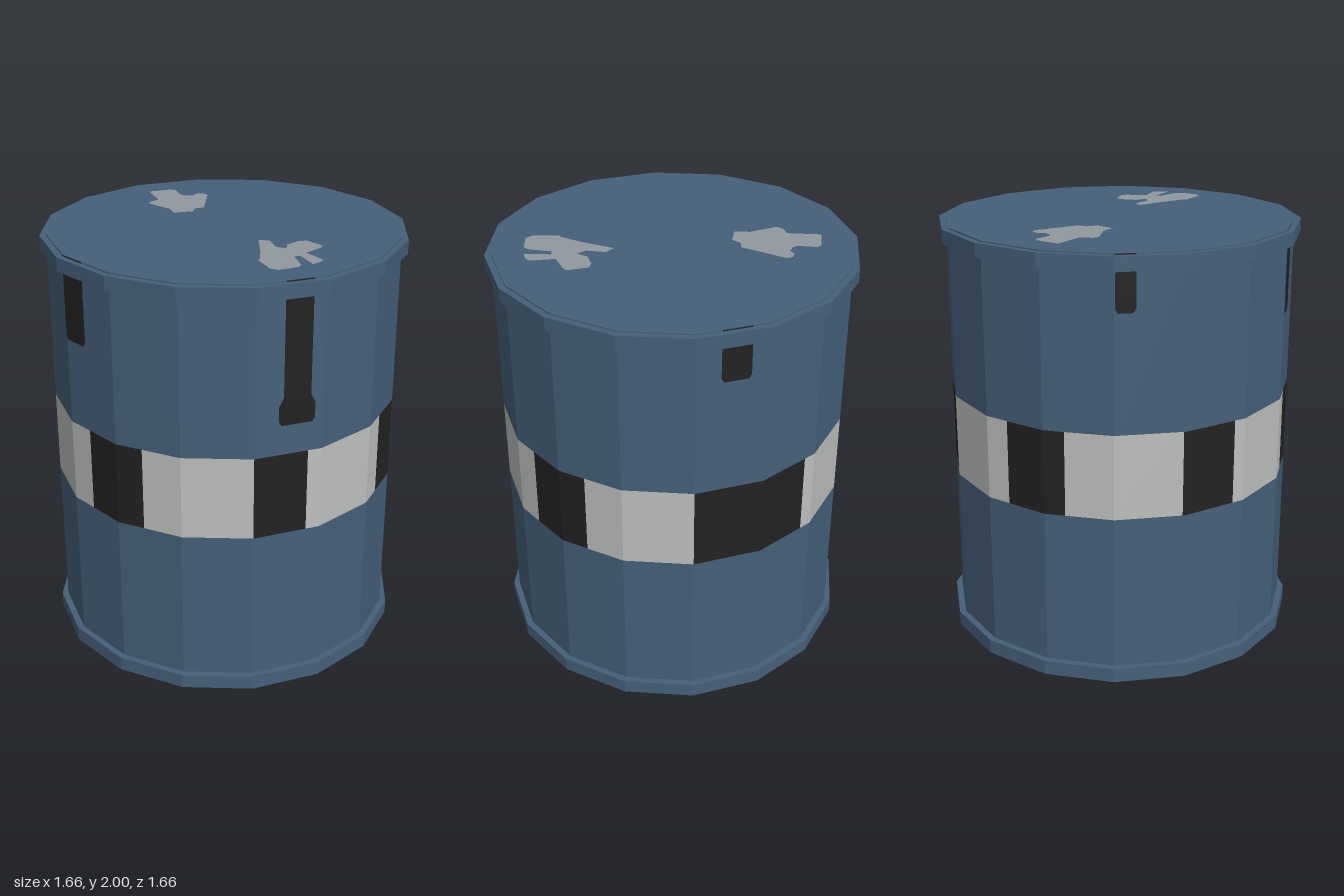
import * as THREE from 'three';

const SIDES = 16, STEP = 360 / SIDES, RADIUS = 0.815;
const APOTHEM = RADIUS * Math.cos(Math.PI / SIDES);
const rad = THREE.MathUtils.degToRad;

const blue = new THREE.MeshStandardMaterial({ color: 0x456079 });
blue.name = 'barrel blue';
const pale = new THREE.MeshStandardMaterial({ color: 0xbdc0be });
pale.name = 'stripe pale grey';
const black = new THREE.MeshStandardMaterial({ color: 0x222222 });
black.name = 'paint black';
const grey = new THREE.MeshStandardMaterial({ color: 0x90999f });
grey.name = 'scuff grey';

function add(parent, name, geometry, material) {
  const mesh = new THREE.Mesh(geometry, material);
  mesh.name = name;
  parent.add(mesh);
  return mesh;
}

// Faceted prism with flat faces centred on +z and +x
function prism(radius, y0, y1, open = false) {
  const g = new THREE.CylinderGeometry(radius, radius, y1 - y0, SIDES, 1, open, rad(STEP / 2));
  g.translate(0, (y0 + y1) / 2, 0);
  const flat = g.toNonIndexed();
  flat.computeVertexNormals();
  return flat;
}

// Point on the faceted wall at an angle measured from the front towards +x
function wallPoint(deg, y) {
  const mid = Math.round(deg / STEP) * STEP;
  const r = APOTHEM / Math.cos(rad(deg - mid));
  return [r * Math.sin(rad(deg)), y, r * Math.cos(rad(deg))];
}

// Piece of the wall between two angles, split at the facet edges
function wallPiece(a0, a1, y0, y1) {
  const stops = [a0];
  for (let e = (Math.ceil(a0 / STEP - 0.5) + 0.5) * STEP; e < a1 - 0.01; e += STEP) {
    if (e > a0 + 0.01) stops.push(e);
  }
  stops.push(a1);
  const pos = [];
  for (let i = 0; i < stops.length - 1; i++) {
    const a = wallPoint(stops[i], y0), b = wallPoint(stops[i + 1], y0);
    const c = wallPoint(stops[i + 1], y1), d = wallPoint(stops[i], y1);
    pos.push(...a, ...b, ...c, ...a, ...c, ...d);
  }
  const g = new THREE.BufferGeometry();
  g.setAttribute('position', new THREE.Float32BufferAttribute(pos, 3));
  g.computeVertexNormals();
  return g;
}

const toShape = (points) => new THREE.Shape(points.map(([x, y]) => new THREE.Vector2(x, y)));

export function createModel() {
  const model = new THREE.Group();
  model.name = 'barrel';
  const bandLow = 0.81, bandHigh = 1.205, top = 1.998;

  // Drum wall below and above the stripe, with closed ends
  add(model, 'lowerBody', prism(RADIUS, 0, bandLow), blue);
  add(model, 'upperBody', prism(RADIUS, bandHigh, top), blue);

  // Rims
  add(model, 'bottomRim', prism(0.845, 0.012, 0.08), blue);
  add(model, 'topRim', prism(0.845, 1.927, 1.992), blue);

  // Stripe of alternating black and pale pieces
  const blacks = [[-24.3, -2.1], [33.75, 51.6], [87.9, 110.5], [146.25, 187], [222, 243], [280.5, 299.8]];
  blacks.forEach(([a0, a1], i) => {
    const next = i + 1 < blacks.length ? blacks[i + 1][0] : blacks[0][0] + 360;
    add(model, 'blackStripe', wallPiece(a0, a1, bandLow, bandHigh), black);
    add(model, 'paleStripe', wallPiece(a1, next, bandLow, bandHigh), pale);
  });

  // Paint drips, each flat on one facet: facet angle, left, right, bottom, bulb
  const drips = [
    [-22.5, -0.159, -0.025, 1.61, 0],
    [45, -0.028, 0.098, 1.345, 0.021],
    [157.5, -0.049, 0.084, 1.75, 0],
    [270, -0.155, -0.065, 1.745, 0],
  ];
  for (const [angle, x0, x1, y, bulb] of drips) {
    const c = 0.012, l = x0 - bulb, r = x1 + bulb;
    const outline = [[x0, top], [x0, y + 0.13], [l, y + 0.09], [l, y + 0.02],
      [l + c, y], [r - c, y], [r, y + 0.02], [r, y + 0.09], [x1, y + 0.13], [x1, top]];
    const g = new THREE.ShapeGeometry(toShape(outline));
    g.translate(0, 0, APOTHEM + 0.003);
    add(model, 'paintDrip', g, black).rotation.y = rad(angle);
  }

  // Worn patches on the lid, given as x, z
  const scuffs = [
    [[-0.58, -0.36], [-0.5, -0.44], [-0.47, -0.44], [-0.42, -0.38], [-0.39, -0.37], [-0.35, -0.39],
      [-0.35, -0.42], [-0.32, -0.44], [-0.29, -0.43], [-0.21, -0.22], [-0.24, -0.19], [-0.23, -0.14],
      [-0.3, -0.08], [-0.35, -0.13], [-0.48, -0.17], [-0.49, -0.2], [-0.47, -0.25]],
    [[0.23, 0.14], [0.28, 0.13], [0.34, 0.2], [0.39, 0.2], [0.37, 0.15], [0.4, 0.08], [0.43, 0.06],
      [0.52, 0.1], [0.52, 0.13], [0.49, 0.22], [0.59, 0.28], [0.59, 0.31], [0.57, 0.35], [0.48, 0.27],
      [0.46, 0.29], [0.53, 0.38], [0.53, 0.41], [0.47, 0.48], [0.43, 0.48], [0.34, 0.4], [0.34, 0.38], [0.3, 0.28]],
  ];
  for (const points of scuffs) {
    const g = new THREE.ShapeGeometry(toShape(points.map(([x, z]) => [x, -z])));
    g.rotateX(-Math.PI / 2);
    g.translate(0, top + 0.002, 0);
    add(model, 'lidScuff', g, grey);
  }
  return model;
}
